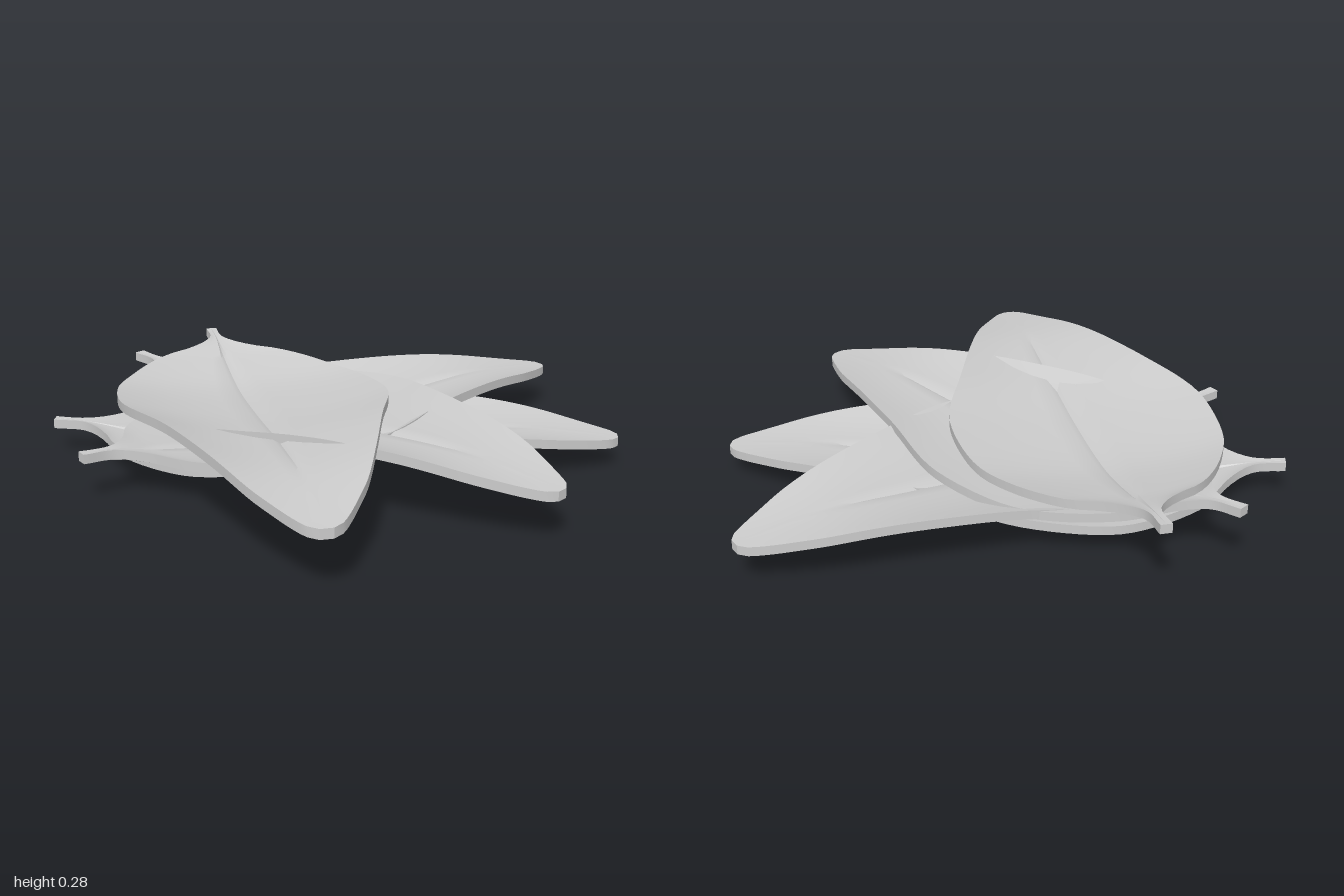
import * as THREE from 'three';
import { toCreasedNormals } from 'three/addons/utils/BufferGeometryUtils.js';

// piecewise smooth lookup through [position, value] pairs
function profile(pairs) {
  return (s) => {
    let i = 0;
    while (i < pairs.length - 2 && s > pairs[i + 1][0]) i++;
    const slope = (k) => {
      const a = pairs[Math.max(k - 1, 0)], b = pairs[Math.min(k + 1, pairs.length - 1)];
      return (b[1] - a[1]) / (b[0] - a[0]);
    };
    const [x0, y0] = pairs[i], [x1, y1] = pairs[i + 1];
    const h = x1 - x0, t = Math.min(Math.max((s - x0) / h, 0), 1);
    const u = 1 - t;
    return y0 * (1 + 2 * t) * u * u + slope(i) * h * t * u * u
      + y1 * t * t * (3 - 2 * t) - slope(i + 1) * h * t * t * u;
  };
}

// half width, midrib height and vein strength from stem (0) to tip (1)
const halfWidth = profile([[0, 0.02], [0.05, 0.022], [0.08, 0.06], [0.108, 0.13], [0.13, 0.21],
  [0.17, 0.29], [0.22, 0.36], [0.29, 0.43], [0.37, 0.46], [0.45, 0.462], [0.51, 0.435],
  [0.61, 0.36], [0.76, 0.26], [0.87, 0.18], [0.935, 0.115], [0.975, 0.07], [0.992, 0.045], [1, 0.02]]);
const midHeight = profile([[0, 0], [0.06, -0.012], [0.15, -0.045], [0.28, -0.075], [0.45, -0.06],
  [0.65, -0.02], [0.82, 0], [1, -0.02]]);
const vein = profile([[0, 0], [0.08, 0.006], [0.2, 0.012], [0.7, 0.01], [0.86, 0], [1, 0]]);

const ACROSS = [-1, -0.8, -0.6, -0.4, -0.2, -0.06, 0, 0.06, 0.2, 0.4, 0.6, 0.8, 1];
const ALONG = 56;
const HALF_THICK = 0.016;

// closed leaf blade with its stem at one point and its tip at another
function leafGeometry(stem, tip) {
  const dx = tip[0] - stem[0], dz = tip[2] - stem[2];
  const len = Math.hypot(dx, dz);
  const px = dz / len, pz = -dx / len;
  const tilt = tip[1] - stem[1] + 0.02;
  const n = ACROSS.length, ring = 2 * n;
  const pos = [], idx = [];

  for (let i = 0; i <= ALONG; i++) {
    const q = i / ALONG;
    const s = q - 0.06 * Math.sin(2 * Math.PI * q);   // denser at both ends
    const bow = Math.sin(Math.PI * s);
    for (let k = 0; k < ring; k++) {
      const top = k < n;
      const v = top ? ACROSS[k] : ACROSS[ring - 1 - k];
      const side = v * halfWidth(s) + 0.018 * bow;
      const cup = (v < 0 ? 0.075 : 0.055) * Math.pow(bow, 1.5) * v * v;
      const groove = v === 0 ? vein(s) : 0;
      const y = stem[1] + tilt * s + midHeight(s) + cup - groove + (top ? HALF_THICK : -HALF_THICK);
      pos.push(stem[0] + dx * s + px * side, y, stem[2] + dz * s + pz * side);
    }
  }
  const quad = (a, b, c, d) => idx.push(a, b, c, b, d, c);
  for (let i = 0; i < ALONG; i++) {
    for (let k = 0; k < ring; k++) {
      const k2 = (k + 1) % ring;
      quad(i * ring + k, (i + 1) * ring + k, i * ring + k2, (i + 1) * ring + k2);
    }
  }
  // end faces of stem and tip
  const last = ALONG * ring;
  for (let k = 0; k < n - 1; k++) {
    const m = ring - 1 - k;
    quad(k, k + 1, m, m - 1);
    quad(last + k, last + m, last + k + 1, last + m - 1);
  }
  const g = new THREE.BufferGeometry();
  g.setAttribute('position', new THREE.Float32BufferAttribute(pos, 3));
  g.setIndex(idx);
  return toCreasedNormals(g, 0.6);
}

export function createModel() {
  const group = new THREE.Group();
  group.name = 'leafStack';
  const material = new THREE.MeshStandardMaterial({ color: 0xcccccc });

  // leaves from the top of the pile down
  const leaves = [
    ['topLeaf', [0.28, 0.245, -0.885], [-0.98, 0.175, 0.64]],
    ['secondLeaf', [-0.03, 0.2, -0.985], [-0.27, 0.14, 0.98]],
    ['thirdLeaf', [-0.88, 0.14, -0.415], [1.0, 0.118, 0.225]],
    ['bottomLeaf', [-0.585, 0.095, -0.865], [0.475, 0.072, 0.815]],
  ];
  for (const [name, stem, tip] of leaves) {
    const leaf = new THREE.Mesh(leafGeometry(stem, tip), material);
    leaf.name = name;
    group.add(leaf);
  }
  return group;
}
